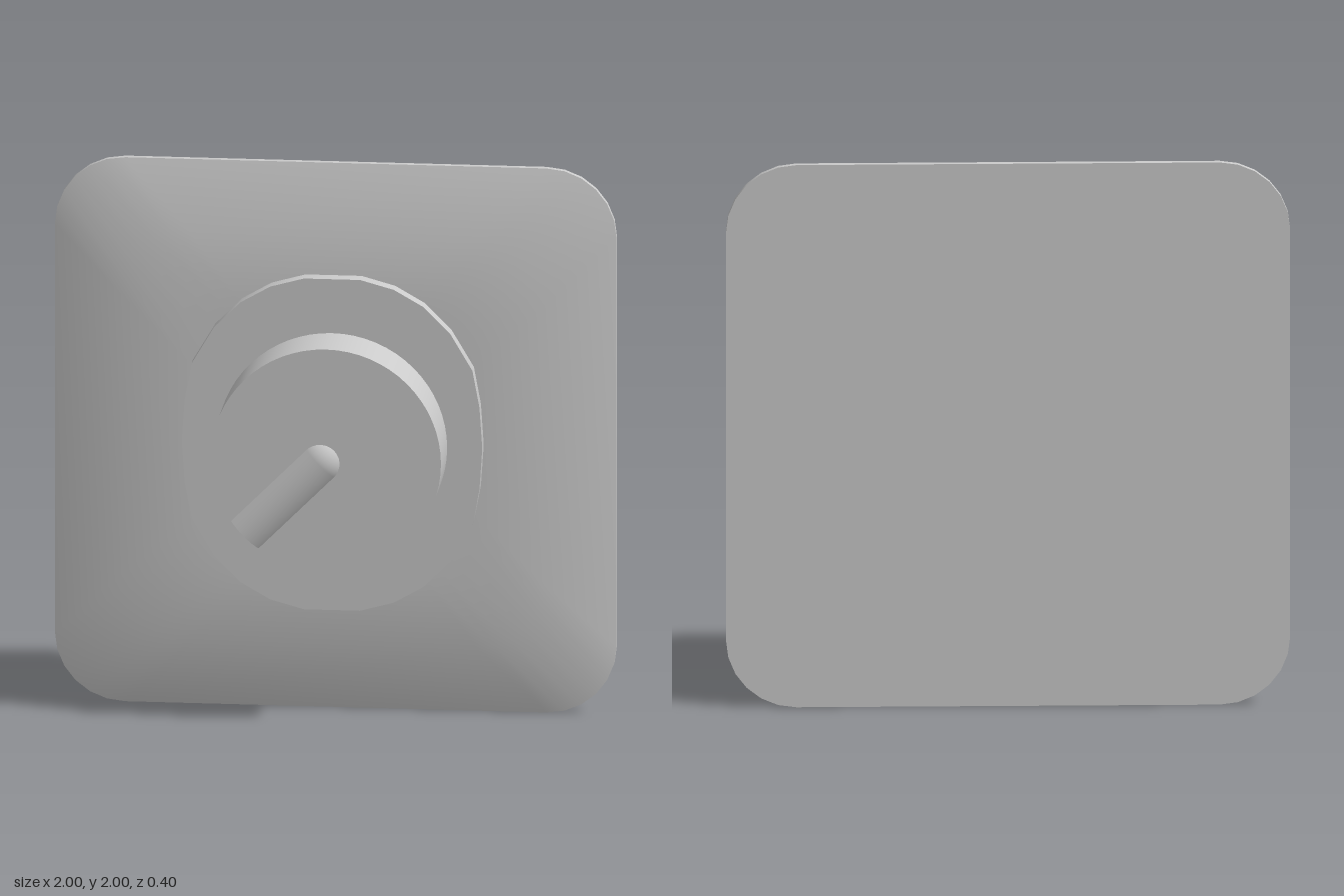
import * as THREE from 'three';
import { mergeVertices, toCreasedNormals } from 'three/addons/utils/BufferGeometryUtils.js';

const material = new THREE.MeshStandardMaterial({ color: 0xcccccc });

// Outline of a rounded square with a few segments per corner
function roundedSquare(half, radius, segments = 6) {
  const points = [];
  const c = half - radius;
  const signs = [[1, 1], [-1, 1], [-1, -1], [1, -1]];
  signs.forEach(([sx, sy], q) => {
    for (let i = 0; i <= segments; i++) {
      const a = (q + i / segments) * Math.PI / 2;
      points.push([sx * c + radius * Math.cos(a), sy * c + radius * Math.sin(a)]);
    }
  });
  return points;
}

// Skin a stack of outlines running from back to front, closed at both ends
function loft(rings) {
  const n = rings[0].points.length;
  const positions = [];
  const index = [];
  for (const { points, z } of rings) for (const [x, y] of points) positions.push(x, y, z);
  for (let r = 0; r < rings.length - 1; r++) {
    for (let i = 0; i < n; i++) {
      const a = r * n + i, b = r * n + (i + 1) % n;
      index.push(a, b, b + n, a, b + n, a + n);
    }
  }
  const back = rings.length * n, front = back + 1, last = (rings.length - 1) * n;
  positions.push(0, 0, rings[0].z, 0, 0, rings[rings.length - 1].z);
  for (let i = 0; i < n; i++) {
    const j = (i + 1) % n;
    index.push(back, j, i, front, last + i, last + j);
  }
  const geometry = new THREE.BufferGeometry();
  geometry.setAttribute('position', new THREE.Float32BufferAttribute(positions, 3));
  geometry.setIndex(index);
  return toCreasedNormals(mergeVertices(geometry), 0.7);
}

export function createModel() {
  const group = new THREE.Group();
  const add = (name, geometry, x = 0, y = 1, z = 0, parent = group) => {
    const mesh = new THREE.Mesh(geometry, material);
    mesh.name = name;
    mesh.position.set(x, y, z);
    parent.add(mesh);
    return mesh;
  };

  // Wall plate: thin rim, sloping border, nearly flat middle
  add('wallPlate', loft([
    { points: roundedSquare(1, 0.25), z: -0.2 },
    { points: roundedSquare(1, 0.25), z: -0.178 },
    { points: roundedSquare(0.75, 0.24), z: -0.105 },
    { points: roundedSquare(0.5, 0.24), z: -0.1 },
  ]));

  // Slightly squared oval collar, mirrored from one quarter
  const quarter = [[0.535, 0], [0.525, 0.15], [0.5, 0.285], [0.42, 0.42], [0.325, 0.515], [0.22, 0.575], [0.1, 0.608]];
  const upper = [...quarter, ...quarter.slice().reverse().map(([x, y]) => [-x, y])];
  const collar = [...upper.slice(0, -1), ...upper.slice(0, -1).map(([x, y]) => [-x, -y])];
  add('collar', loft([{ points: collar, z: -0.15 }, { points: collar, z: -0.047 }]));

  // Round dial
  const dial = add('dial', new THREE.CylinderGeometry(0.41, 0.41, 0.24, 64), 0, 1, 0.052);
  dial.rotation.x = Math.PI / 2;

  // Pointer: half-buried rod with a round inner end, reaching the dial rim
  const pointer = new THREE.Group();
  pointer.name = 'pointer';
  pointer.position.set(-0.02, 0.99, 0.1);
  pointer.rotation.z = -Math.PI / 4;
  group.add(pointer);
  add('pointerRod', new THREE.CylinderGeometry(0.1, 0.1, 0.38, 32), 0, -0.19, 0, pointer);
  add('pointerTip', new THREE.SphereGeometry(0.1, 32, 12, 0, Math.PI * 2, 0, Math.PI / 2), 0, 0, 0, pointer);

  return group;
}
